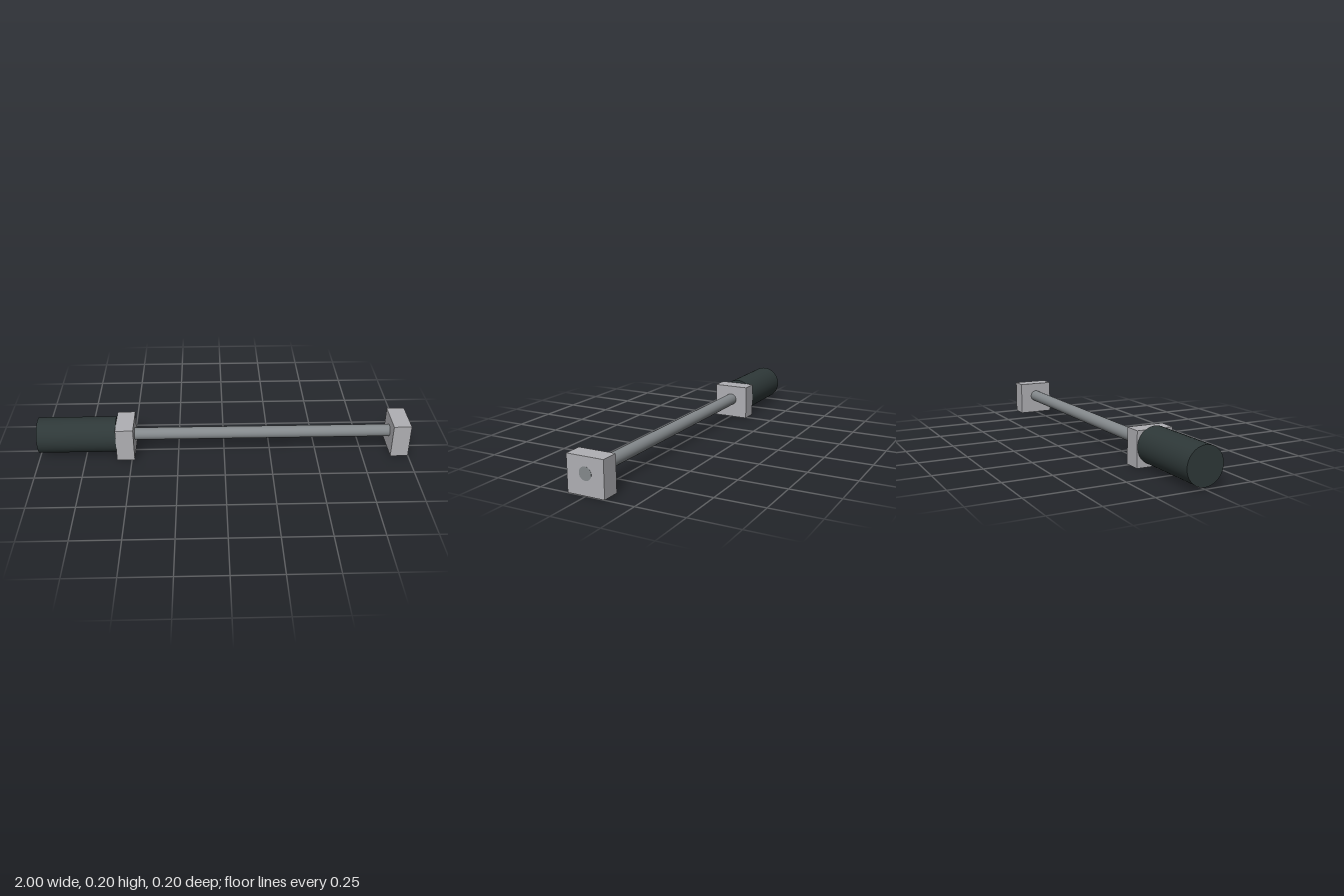
import * as THREE from 'three';

const material = (name, color) => {
  const m = new THREE.MeshStandardMaterial({ color });
  m.name = name;
  return m;
};

export function createModel() {
  const group = new THREE.Group();
  group.name = 'linearActuator';

  const blockGrey = material('light grey block', 0xb0b0b4);
  const steel = material('steel grey', 0x84898c);
  const motorDark = material('dark motor grey', 0x2e3838);

  const axisY = 0.105;

  // round part lying along x, from x0 to x1
  function rod(name, radius, x0, x1, mat) {
    const geo = new THREE.CylinderGeometry(radius, radius, x1 - x0, 48);
    geo.rotateZ(-Math.PI / 2);
    const mesh = new THREE.Mesh(geo, mat);
    mesh.name = name;
    mesh.position.set((x0 + x1) / 2, axisY, 0);
    group.add(mesh);
  }

  // square support block standing on the ground
  function block(name, x0, x1) {
    const mesh = new THREE.Mesh(new THREE.BoxGeometry(x1 - x0, 0.185, 0.196), blockGrey);
    mesh.name = name;
    mesh.position.set((x0 + x1) / 2, 0.0925, 0);
    group.add(mesh);
  }

  rod('motorBody', 0.096, -1, -0.58, motorDark);
  block('motorMountBlock', -0.58, -0.485);
  // shaft shows through the far face of the end block
  rod('shaft', 0.033, -0.53, 1, steel);
  block('endBlock', 0.904, 0.999);

  return group;
}
